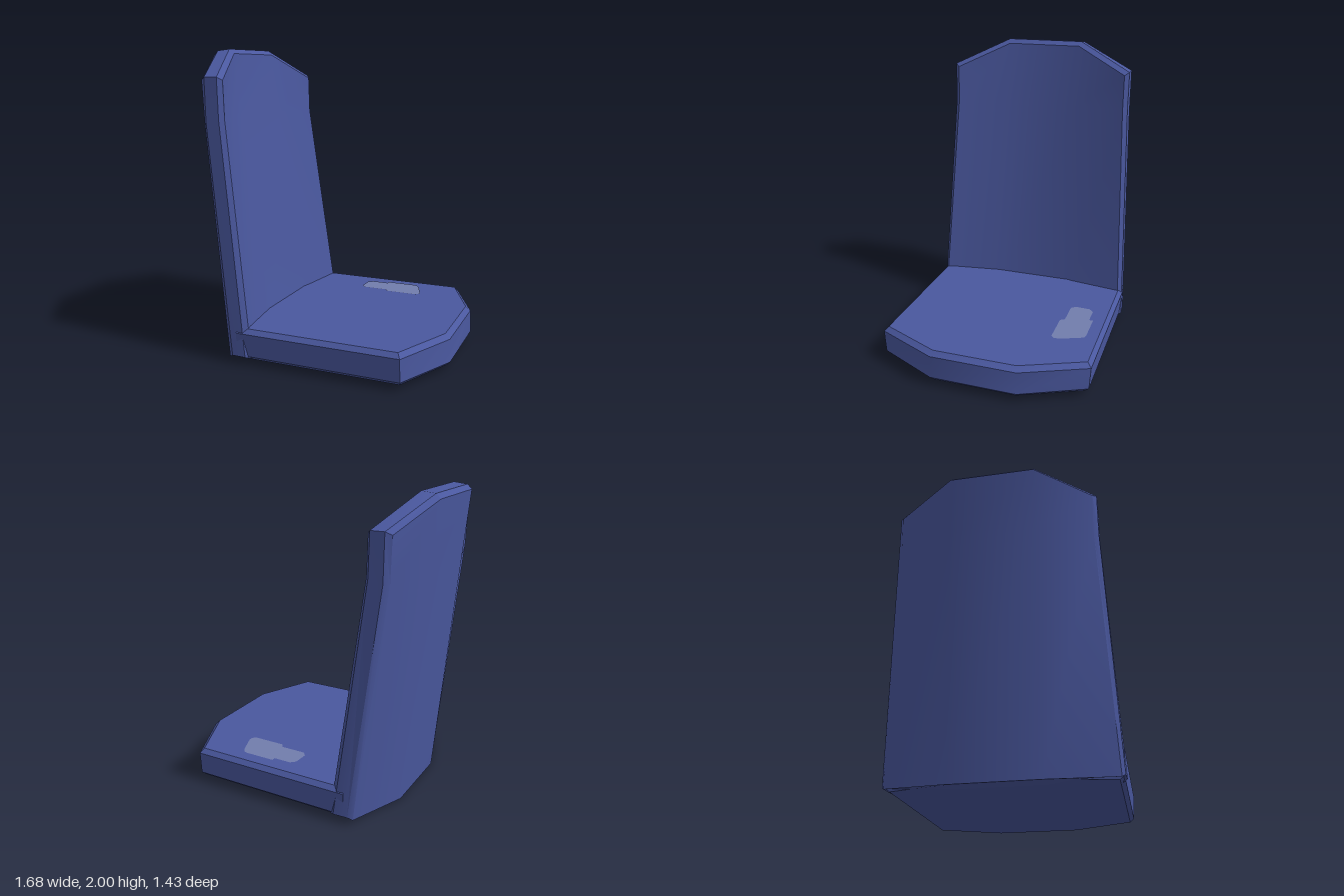
import * as THREE from 'three';
import { toCreasedNormals } from 'three/addons/utils/BufferGeometryUtils.js';

const blue = new THREE.MeshStandardMaterial({ name: 'blue', color: 0x4a589f });
const paleBlue = new THREE.MeshStandardMaterial({ name: 'pale blue', color: 0x727dad });

// Collects flat polygons and turns them into a creased geometry.
function polygonBuilder() {
  const pos = [];
  return {
    face(...p) {
      for (let i = 1; i < p.length - 1; i++) pos.push(...p[0], ...p[i], ...p[i + 1]);
    },
    // Strips joining successive closed loops
    loft(loops) {
      for (let k = 0; k < loops.length - 1; k++) {
        const a = loops[k], b = loops[k + 1], n = a.length;
        for (let i = 0; i < n; i++) {
          const j = (i + 1) % n;
          this.face(a[i], a[j], b[j], b[i]);
        }
      }
    },
    build() {
      const g = new THREE.BufferGeometry();
      g.setAttribute('position', new THREE.Float32BufferAttribute(pos, 3));
      return toCreasedNormals(g, THREE.MathUtils.degToRad(30));
    },
  };
}

function makeMesh(name, geometry, material) {
  const mesh = new THREE.Mesh(geometry, material);
  mesh.name = name;
  return mesh;
}

// Curved back: four layers from rear face to front face.
// Each layer has rows bottom, middle, top, each as [side point, inner point].
function backrestGeometry() {
  const layers = [
    [[[-0.52, 0.03, 0.69], [-0.655, 0.0, 0.27]],
      [[-0.7, 1.53, 0.62], [-0.798, 1.53, 0.27]],
      [[-0.71, 1.8, 0.625], [-0.84, 1.96, 0.27]]],
    [[[-0.49, 0.05, 0.71], [-0.63, 0.005, 0.27]],
      [[-0.67, 1.53, 0.65], [-0.77, 1.53, 0.27]],
      [[-0.675, 1.82, 0.65], [-0.81, 1.99, 0.27]]],
    [[[-0.395, 0.05, 0.715], [-0.44, 0.03, 0.27]],
      [[-0.578, 1.55, 0.65], [-0.67, 1.55, 0.27]],
      [[-0.585, 1.82, 0.65], [-0.72, 2.0, 0.27]]],
    [[[-0.36, 0.04, 0.69], [-0.42, 0.04, 0.28]],
      [[-0.553, 1.55, 0.62], [-0.645, 1.55, 0.27]],
      [[-0.56, 1.8, 0.62], [-0.69, 1.97, 0.26]]],
  ];
  const mirror = ([x, y, z]) => [x, y, -z];
  const grids = layers.map(rows => rows.map(([s, m]) => [mirror(s), mirror(m), m, s]));
  const rim = [[0, 3], [0, 2], [0, 1], [0, 0], [1, 0], [2, 0], [2, 1], [2, 2], [2, 3], [1, 3]];
  const b = polygonBuilder();
  b.loft(grids.map(g => rim.map(([r, c]) => g[r][c])));
  const rear = grids[0], front = grids[3];
  for (let r = 0; r < 2; r++) {
    for (let c = 0; c < 3; c++) {
      b.face(front[r][c + 1], front[r][c], front[r + 1][c], front[r + 1][c + 1]);
      b.face(rear[r][c], rear[r][c + 1], rear[r + 1][c + 1], rear[r + 1][c]);
    }
  }
  return b.build();
}

// Seat slab: loops from underside to top with chamfered rims
function seatGeometry() {
  // y, corner x, side z, front x, front z
  const levels = [
    [0.03, 0.63, 0.675, 0.815, 0.28],
    [0.055, 0.64, 0.702, 0.838, 0.29],
    [0.205, 0.64, 0.712, 0.832, 0.29],
    [0.235, 0.62, 0.685, 0.8, 0.28],
  ];
  const loops = levels.map(([y, cx, sz, fx, fz]) => [
    [-0.46, y, sz], [cx, y, sz], [fx, y, fz], [fx, y, -fz],
    [cx, y, -sz], [-0.46, y, -sz], [-0.56, y, -0.27], [-0.56, y, 0.27],
  ]);
  const b = polygonBuilder();
  b.loft(loops);
  b.face(...loops[3]);
  b.face(...[...loops[0]].reverse());
  return b.build();
}

// Pale patch lying on the seat
function patchGeometry() {
  const outline = [
    [-0.01, 0.42], [0.16, 0.42], [0.18, 0.39], [0.4, 0.39], [0.42, 0.41], [0.42, 0.44],
    [0.37, 0.57], [0.35, 0.6], [0.32, 0.607], [0.12, 0.607], [0.12, 0.58], [0, 0.58],
    [-0.03, 0.55], [-0.035, 0.45],
  ].map(p => new THREE.Vector2(...p));
  return new THREE.ShapeGeometry(new THREE.Shape(outline)).rotateX(-Math.PI / 2).translate(0, 0.239, 0);
}

export function createModel() {
  const chair = new THREE.Group();
  chair.name = 'chair';
  chair.add(
    makeMesh('backrest', backrestGeometry(), blue),
    makeMesh('seat', seatGeometry(), blue),
    makeMesh('seatPatch', patchGeometry(), paleBlue),
  );
  return chair;
}
